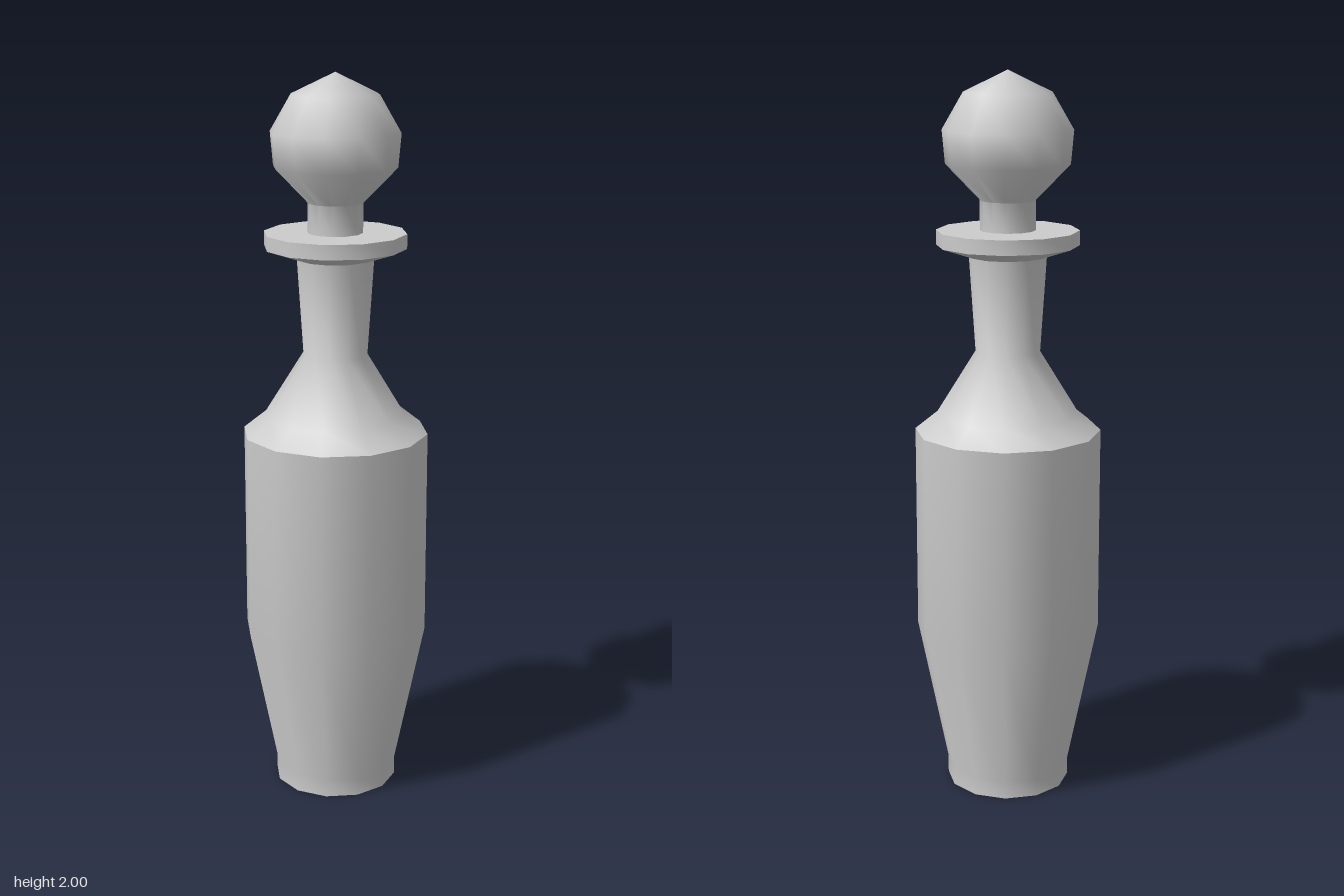
import * as THREE from 'three';
import { toCreasedNormals } from 'three/addons/utils/BufferGeometryUtils.js';

const SIDES = 12;

// Turned part from [radius, height] points, listed bottom to top
function turned(name, profile, material) {
  const points = profile.map(([r, y]) => new THREE.Vector2(r, y));
  const geometry = toCreasedNormals(new THREE.LatheGeometry(points, SIDES), 0.82);
  const mesh = new THREE.Mesh(geometry, material);
  mesh.name = name;
  return mesh;
}

export function createModel() {
  const model = new THREE.Group();
  model.name = 'decanter';
  const material = new THREE.MeshStandardMaterial({ color: 0xcccccc });

  // Foot, tapered body, shoulder, flared neck and flat lip
  model.add(turned('bottle', [
    [0, 0], [0.172, 0], [0.172, 0.05], [0.255, 0.46], [0.255, 1.03],
    [0.193, 1.08], [0.088, 1.25], [0.105, 1.51],
    [0.193, 1.54], [0.193, 1.58], [0, 1.58],
  ], material));

  // Stem and rounded knob with a shallow point
  model.add(turned('stopper', [
    [0.075, 1.58], [0.075, 1.66], [0.167, 1.755],
    [0.175, 1.845], [0.118, 1.943], [0, 2],
  ], material));

  return model;
}
